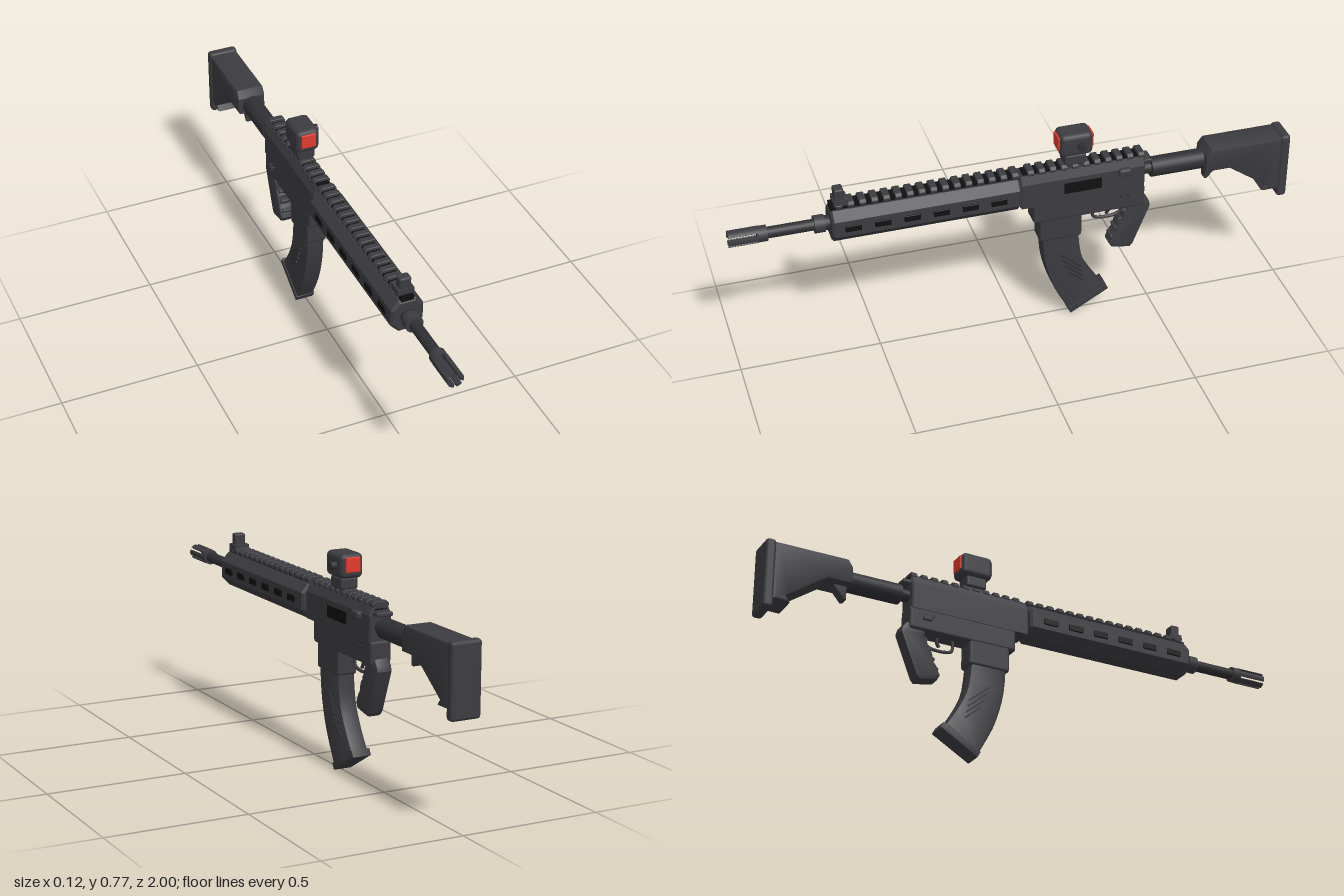
import * as THREE from 'three';
import { toCreasedNormals } from 'three/addons/utils/BufferGeometryUtils.js';
import { RoundedBoxGeometry } from 'three/addons/geometries/RoundedBoxGeometry.js';

const material = (name, color) => Object.assign(new THREE.MeshStandardMaterial({ color }), { name });

export function createModel() {
  const model = new THREE.Group();
  model.name = 'rifle';
  model.position.x = -0.005;

  const body = material('charcoal body', 0x3c3c41);
  const steel = material('dark steel', 0x303034);
  const black = material('black recess', 0x101011);
  const red = material('red lens', 0xe23b2c);

  const add = (name, geometry, mat, x = 0, y = 0, z = 0) => {
    const mesh = new THREE.Mesh(geometry, mat);
    mesh.name = name;
    mesh.position.set(x, y, z);
    model.add(mesh);
    return mesh;
  };
  const box = (name, mat, w, h, d, x, y, z) => add(name, new THREE.BoxGeometry(w, h, d), mat, x, y, z);
  const rounded = (name, mat, w, h, d, x, y, z, r = 0.01) =>
    add(name, new RoundedBoxGeometry(w, h, d, 2, r), mat, x, y, z);
  // cylinder along z between two depths
  const rod = (name, mat, r, z0, z1) =>
    add(name, new THREE.CylinderGeometry(r, r, z1 - z0, 24).rotateX(Math.PI / 2), mat, 0, 0.557, (z0 + z1) / 2);
  // cylinder along x
  const button = (name, mat, r, length, x, y, z) =>
    add(name, new THREE.CylinderGeometry(r, r, length, 20).rotateZ(Math.PI / 2), mat, x, y, z);
  // side profile of [z, y] points, extruded across x with a soft edge
  const profile = (name, mat, points, width, bevel) => {
    const shape = new THREE.Shape(points.map(([z, y]) => new THREE.Vector2(z, y)));
    const geo = new THREE.ExtrudeGeometry(shape, {
      depth: width - 2 * bevel, bevelEnabled: true, bevelThickness: bevel,
      bevelSize: bevel, bevelOffset: -bevel, bevelSegments: 2,
    });
    geo.translate(0, 0, bevel - width / 2).rotateY(-Math.PI / 2);
    return add(name, toCreasedNormals(geo, 0.5), mat);
  };
  // outline in x and y, extruded along z
  const section = (name, mat, points, z0, z1, bevel) => {
    const shape = new THREE.Shape(points.map(([x, y]) => new THREE.Vector2(x, y)));
    const geo = new THREE.ExtrudeGeometry(shape, {
      depth: z1 - z0 - 2 * bevel, bevelEnabled: true, bevelThickness: bevel,
      bevelSize: bevel, bevelOffset: -bevel, bevelSegments: 1,
    });
    return add(name, geo, mat, 0, 0, z0 + bevel);
  };

  // Barrel and gas block
  rod('barrel', steel, 0.02, 0.6, 0.88);
  rod('gasBlock', body, 0.031, 0.672, 0.708);
  rod('handguardCollar', steel, 0.026, 0.64, 0.675);

  // Muzzle device: collar, open prongs and dark bore
  rod('muzzleCollar', body, 0.028, 0.868, 0.9);
  rod('bore', black, 0.016, 0.896, 0.902);
  const prongCount = 6;
  for (let i = 0; i < prongCount; i++) {
    const mid = (i * 2 * Math.PI) / prongCount, half = 0.36;
    const prong = new THREE.Shape();
    prong.absarc(0, 0, 0.029, mid - half, mid + half, false);
    prong.absarc(0, 0, 0.017, mid + half, mid - half, true);
    add('muzzleProng', new THREE.ExtrudeGeometry(prong, { depth: 0.105, bevelEnabled: false, curveSegments: 5 }),
      body, 0, 0.557, 0.895);
  }

  // Eight-sided handguard with vent slots on both sides
  section('handguard', body, [[-0.028, 0.495], [0.028, 0.495], [0.058, 0.527], [0.058, 0.588],
    [0.03, 0.618], [-0.03, 0.618], [-0.058, 0.588], [-0.058, 0.527]], -0.008, 0.655, 0.008);
  for (const side of [-1, 1]) {
    for (let i = 0; i < 6; i++) {
      rounded('ventSlot', black, 0.008, 0.024, 0.057, side * 0.058, 0.557, 0.583 - i * 0.102, 0.003);
    }
  }

  // Toothed top rails
  const rail = (z0, z1) => {
    box('railBase', black, 0.046, 0.018, z1 - z0, 0, 0.622, (z0 + z1) / 2);
    const n = Math.round((z1 - z0) / 0.041);
    for (let i = 0; i < n; i++) {
      section('railTooth', body, [[-0.024, 0.616], [0.024, 0.616], [0.031, 0.626], [0.031, 0.633],
        [0.023, 0.642], [-0.023, 0.642], [-0.031, 0.633], [-0.031, 0.626]],
      z0 + (i / n) * (z1 - z0), z0 + ((i + 0.58) / n) * (z1 - z0), 0.002);
    }
  };
  rail(-0.005, 0.652);
  rail(-0.46, -0.02);

  // Front sight
  box('frontSightBase', body, 0.058, 0.02, 0.05, 0, 0.642, 0.615);
  rounded('frontSight', body, 0.042, 0.06, 0.034, 0, 0.662, 0.619, 0.007);

  // Upper and lower receiver
  section('upperReceiver', body, [[-0.042, 0.5], [0.042, 0.5], [0.042, 0.595], [0.028, 0.626],
    [-0.028, 0.626], [-0.042, 0.595]], -0.46, -0.008, 0.005);
  rounded('lowerReceiver', body, 0.078, 0.085, 0.408, 0, 0.467, -0.26);
  rounded('magazineWell', body, 0.074, 0.16, 0.155, 0, 0.42, -0.157);
  box('ejectionPort', black, 0.006, 0.042, 0.135, 0.041, 0.556, -0.233);
  rounded('forwardAssist', body, 0.026, 0.028, 0.046, 0.046, 0.587, -0.383, 0.009);
  for (const side of [-1, 1]) {
    for (const z of [-0.375, -0.4]) button('receiverPin', steel, 0.006, 0.006, side * 0.04, 0.482, z);
  }
  rounded('selector', body, 0.012, 0.018, 0.035, -0.042, 0.47, -0.4, 0.004);
  rounded('chargingHandle', body, 0.06, 0.016, 0.05, 0, 0.602, -0.465, 0.005);

  // Optic: mount, housing, lenses and side knob
  box('opticRiser', body, 0.048, 0.05, 0.07, 0, 0.635, -0.208);
  rounded('opticMount', body, 0.065, 0.042, 0.078, 0, 0.661, -0.208, 0.008);
  rounded('opticHousing', body, 0.085, 0.086, 0.118, 0, 0.723, -0.209, 0.018);
  for (const z of [-0.149, -0.269]) {
    rounded('opticLens', red, 0.054, 0.052, 0.008, 0, 0.729, z, 0.003);
  }
  button('opticKnob', steel, 0.014, 0.025, 0.05, 0.723, -0.222);

  // Curved magazine, from matching front and rear curves
  const curve = (pts) => new THREE.SplineCurve(pts.map(([z, y]) => new THREE.Vector2(z, y)))
    .getPoints(10).map((p) => [p.x, p.y]);
  const front = curve([[-0.09, 0.37], [-0.1, 0.25], [-0.135, 0.13], [-0.195, 0.015]]);
  const rear = curve([[-0.322, 0.092], [-0.275, 0.165], [-0.237, 0.25], [-0.222, 0.37]]);
  profile('magazine', body, [...front, ...rear], 0.064, 0.006);
  profile('magazineBase', body, [[-0.187, 0.022], [-0.2, 0], [-0.34, 0.081], [-0.328, 0.103]], 0.07, 0.003);
  for (const side of [-1, 1]) {
    for (let i = 0; i < 4; i++) {
      const rib = box('magazineRib', steel, 0.005, 0.006, 0.1 - i * 0.008,
        side * 0.032, 0.235 - i * 0.025, -0.195 - i * 0.008);
      rib.rotation.x = -0.7;
    }
  }

  // Pistol grip with finger ridges
  profile('pistolGrip', body, [[-0.39, 0.45], [-0.47, 0.45], [-0.486, 0.43], [-0.492, 0.41], [-0.432, 0.257],
    [-0.42, 0.243], [-0.352, 0.255], [-0.34, 0.275], [-0.355, 0.31], [-0.364, 0.32], [-0.372, 0.355],
    [-0.386, 0.37], [-0.392, 0.4], [-0.402, 0.41]], 0.06, 0.012);
  for (let i = 0; i < 4; i++) {
    const ridge = rounded('fingerRidge', body, 0.044, 0.014, 0.02, 0, 0.3 + i * 0.034, -0.355 - i * 0.014, 0.005);
    ridge.rotation.x = 0.38;
  }

  // Trigger guard and trigger, bent from [y, z] points
  const bentRod = (name, mat, points) => {
    const path = new THREE.CatmullRomCurve3(points.map(([y, z]) => new THREE.Vector3(0, y, z)));
    return add(name, new THREE.TubeGeometry(path, 24, 0.006, 8), mat);
  };
  bentRod('triggerGuard', body, [[0.435, -0.285], [0.39, -0.286], [0.381, -0.3],
    [0.379, -0.36], [0.39, -0.385], [0.41, -0.4]]);
  bentRod('trigger', steel, [[0.435, -0.335], [0.41, -0.345], [0.39, -0.335]]);

  // Stock tube and shoulder stock
  rod('tubeNeck', steel, 0.022, -0.5, -0.45);
  rod('stockTube', steel, 0.036, -0.72, -0.492);
  profile('stock', body, [[-0.684, 0.59], [-0.703, 0.617], [-0.968, 0.617], [-0.968, 0.405], [-0.905, 0.405],
    [-0.92, 0.425], [-0.91, 0.432], [-0.775, 0.527], [-0.684, 0.527]], 0.104, 0.008);
  profile('stockLever', body, [[-0.692, 0.54], [-0.75, 0.54], [-0.742, 0.525], [-0.702, 0.478], [-0.694, 0.48]],
    0.04, 0.004);
  rounded('buttPad', body, 0.11, 0.254, 0.036, 0, 0.497, -0.982, 0.012);

  return model;
}
